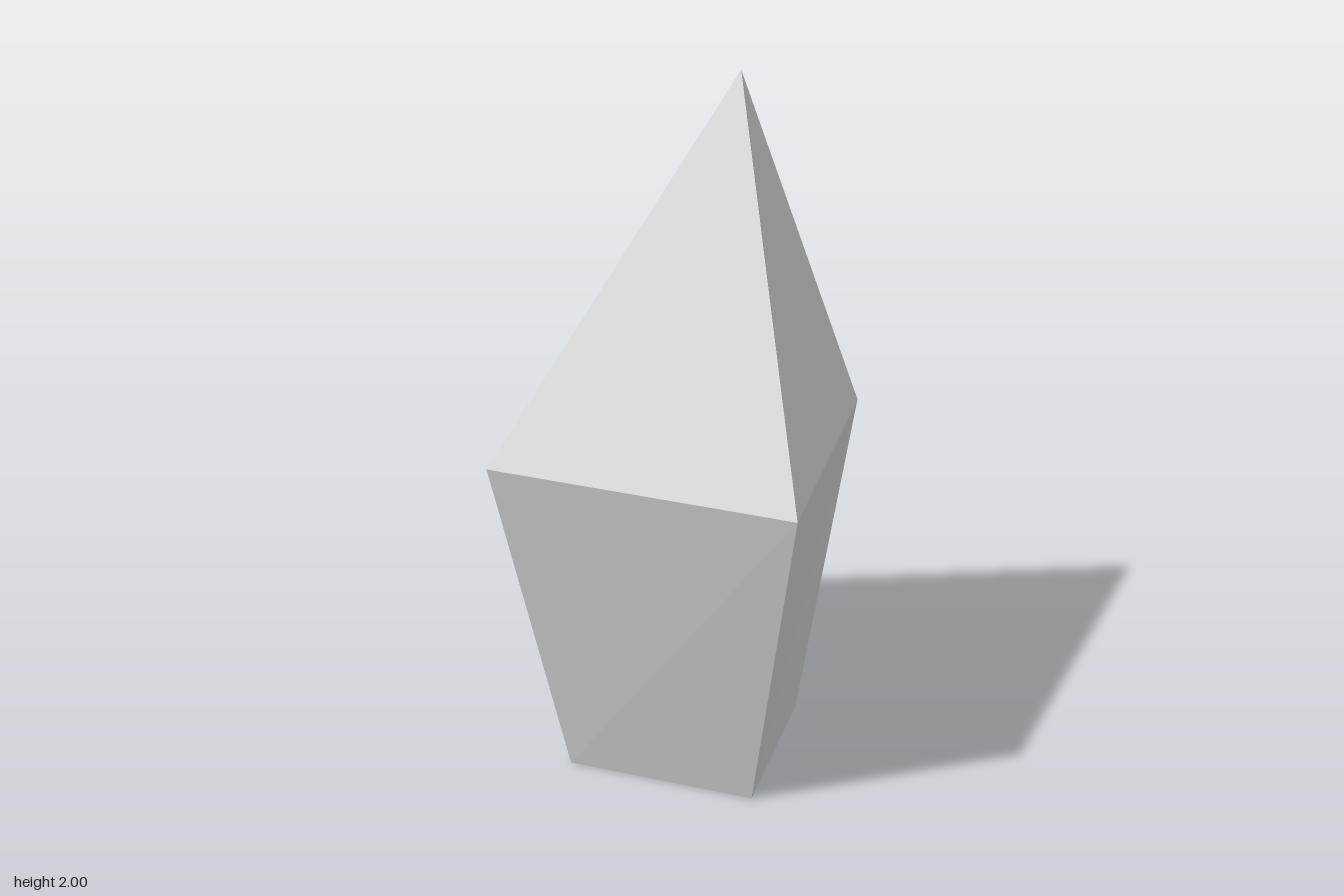
import * as THREE from 'three';

// Joins triangles (lists of corner points) into one flat-shaded surface
function facets(name, triangles, material) {
  const geometry = new THREE.BufferGeometry();
  geometry.setAttribute('position', new THREE.Float32BufferAttribute(triangles.flat(2), 3));
  geometry.computeVertexNormals();
  const mesh = new THREE.Mesh(geometry, material);
  mesh.name = name;
  return mesh;
}

export function createModel() {
  const group = new THREE.Group();
  group.name = 'crystal';
  const stone = new THREE.MeshStandardMaterial({ color: 0xcccccc });
  stone.name = 'pale grey stone';

  // Corner rings run left side, front, right side, back as seen from the front
  const base = [[-0.353, 0, -0.11], [-0.06, 0, 0.37], [0.37, 0, 0.083], [0.1, 0, -0.38]];
  const waist = [[-0.56, 1, -0.177], [-0.12, 1, 0.6], [0.56, 1, 0.113], [0.153, 1, -0.6]];
  const apex = [0.248, 2, -0.068];

  const sides = [], point = [];
  for (let i = 0; i < 4; i++) {
    const j = (i + 1) % 4;
    sides.push([base[i], base[j], waist[j]], [base[i], waist[j], waist[i]]);
    point.push([waist[i], waist[j], apex]);
  }
  const bottom = [[base[0], base[3], base[2]], [base[0], base[2], base[1]]];

  // Flaring body, leaning tip and flat underside
  group.add(
    facets('body', sides, stone),
    facets('tip', point, stone),
    facets('underside', bottom, stone)
  );
  return group;
}
